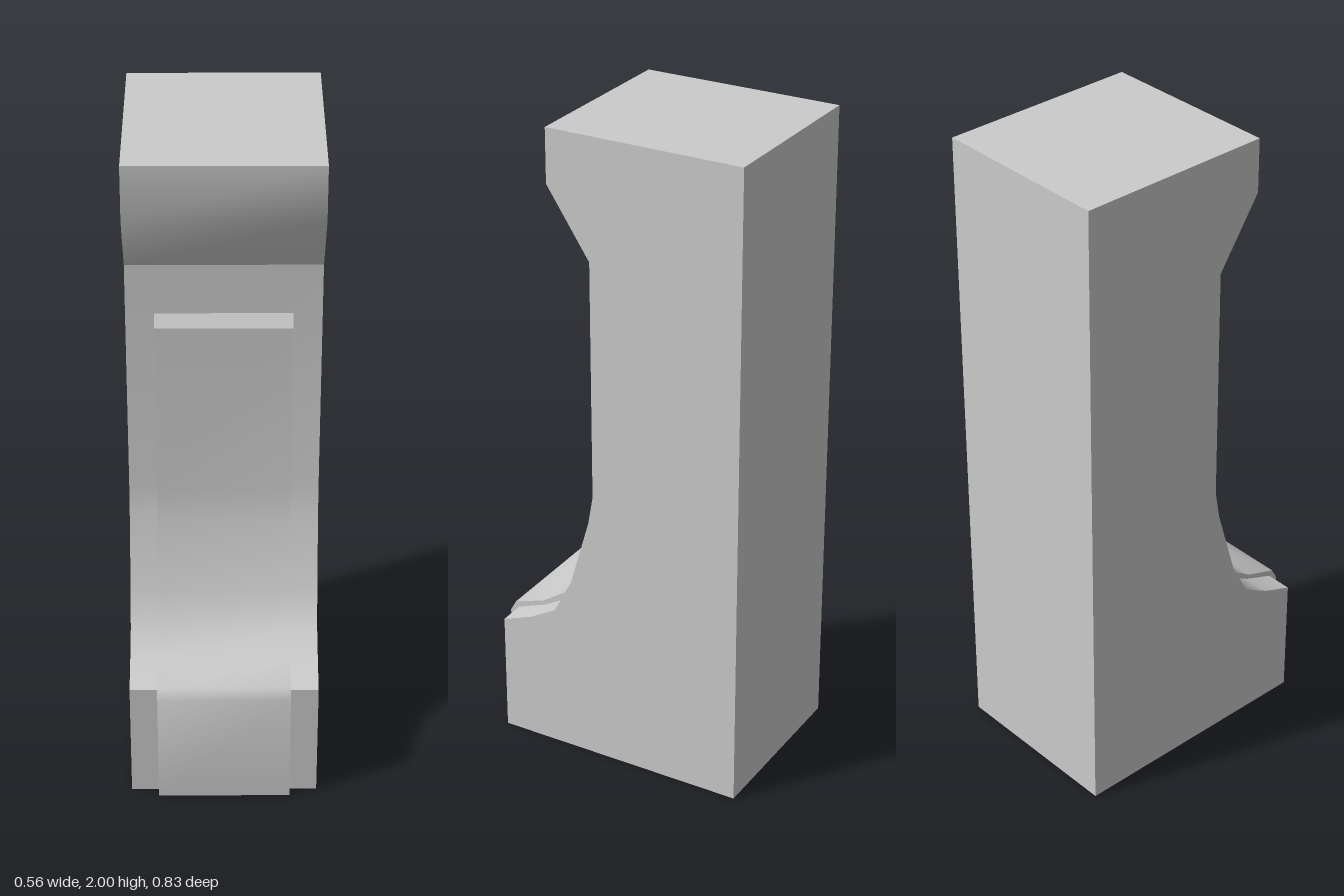
import * as THREE from 'three';
import { toCreasedNormals } from 'three/addons/utils/BufferGeometryUtils.js';

const BACK = -0.415;
const BODY_WIDTH = 0.56;
const PANEL_WIDTH = 0.395;
const CREASE = THREE.MathUtils.degToRad(48);

// Front outlines as [z, y], from the foot upwards
const bodyFront = [
  [0.387, 0], [0.387, 0.38], [0.29, 0.417], [0.203, 0.467],
  [0.145, 0.577], [0.08, 0.8], [0.064, 0.89],
];
const panelFront = [
  [0.417, 0], [0.417, 0.362], [0.398, 0.396], [0.298, 0.429], [0.218, 0.482],
  [0.166, 0.58], [0.105, 0.785], [0.09, 0.89], [0.09, 1.44],
];

const material = new THREE.MeshStandardMaterial({ color: 0xcccccc });

// Extrudes a side outline across x, centred
function slab(name, outline, width) {
  const shape = new THREE.Shape(outline.map(([z, y]) => new THREE.Vector2(z, y)));
  let geometry = new THREE.ExtrudeGeometry(shape, { depth: width, bevelEnabled: false });
  geometry.translate(0, 0, -width / 2);
  geometry.rotateY(-Math.PI / 2);
  geometry = toCreasedNormals(geometry, CREASE);
  const mesh = new THREE.Mesh(geometry, material);
  mesh.name = name;
  return mesh;
}

export function createModel() {
  const group = new THREE.Group();
  group.name = 'corbel';

  // Shaft with the curved foot
  group.add(slab('shaft', [[BACK, 0], ...bodyFront, [0.064, 1.63], [BACK, 1.63]], BODY_WIDTH));

  // Overhanging head
  group.add(slab('head', [
    [BACK, 1.63], [0.064, 1.63], [0.2, 1.835], [0.2, 2], [BACK, 2],
  ], BODY_WIDTH));

  // Raised panel following the front curve
  group.add(slab('frontPanel', [
    ...panelFront, [0.064, 1.44], ...bodyFront.slice().reverse(),
  ], PANEL_WIDTH));

  // Sloped top edge of the panel
  group.add(slab('panelTopBevel', [[0.064, 1.44], [0.09, 1.44], [0.064, 1.475]], PANEL_WIDTH));

  return group;
}
